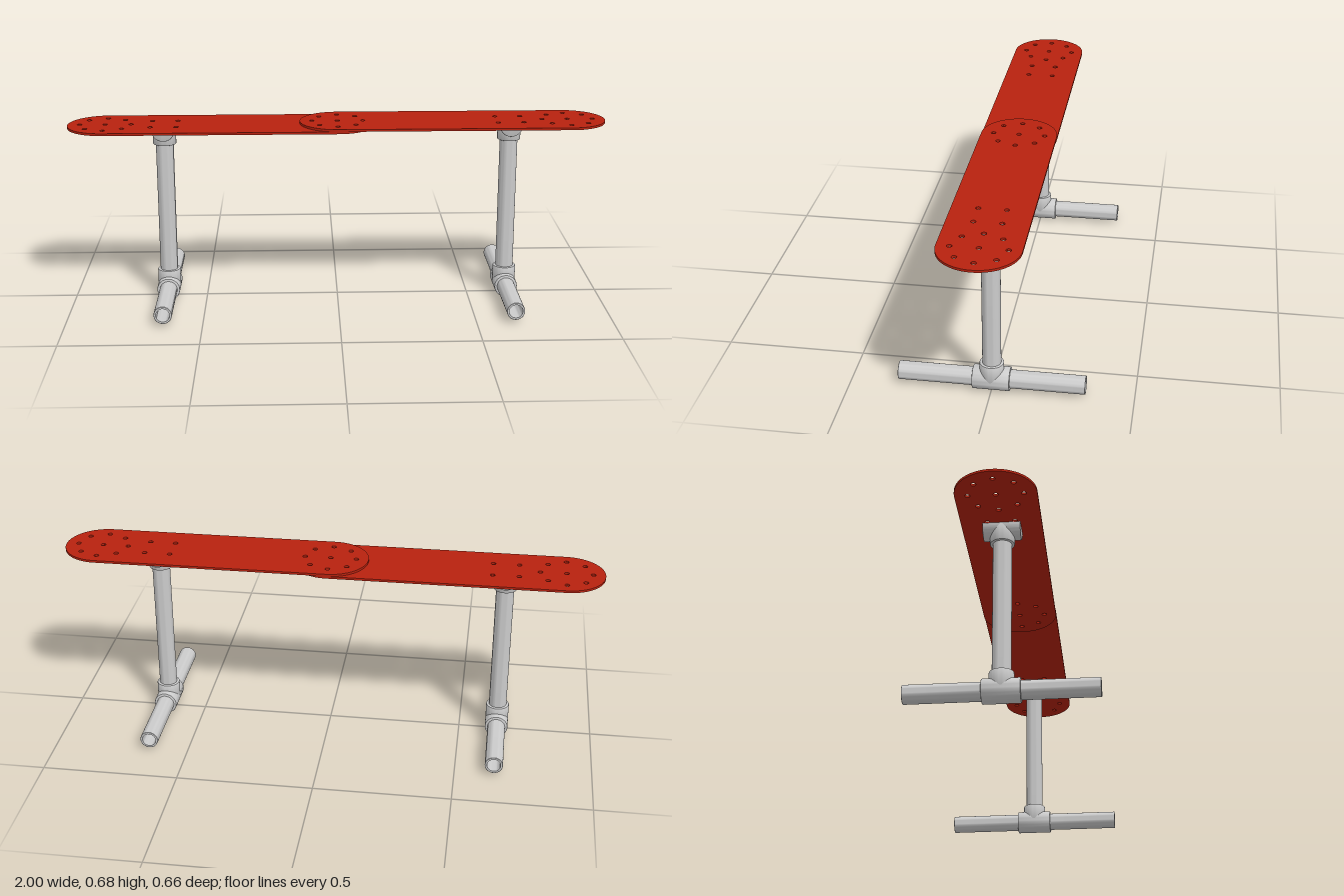
import * as THREE from 'three';
import { toCreasedNormals } from 'three/addons/utils/BufferGeometryUtils.js';

const metal = new THREE.MeshStandardMaterial({ color: 0xcccccc });
const red = new THREE.MeshStandardMaterial({ color: 0xb8220f });

const LEG_X = 0.643;       // leg distance from the middle
const PIPE_R = 0.033, BORE_R = 0.025;
const TEE_R = 0.043, TEE_REACH = 0.066, FILLET = 0.003;
const END_X = 0.86, HALF_W = 0.14, THICK = 0.0085;
const LOW_Y = 0.666;       // underside of the lower plank

function add(parent, name, geometry, material) {
  const mesh = new THREE.Mesh(geometry, material);
  mesh.name = name;
  parent.add(mesh);
  return mesh;
}

function turned(pairs, start = 0, sweep = Math.PI * 2) {
  const points = pairs.map(([r, y]) => new THREE.Vector2(r, y));
  return toCreasedNormals(new THREE.LatheGeometry(points, 48, start, sweep), 0.6);
}

// Hollow pipe along y
function pipe(y0, y1) {
  const c = 0.001;
  return turned([[BORE_R, y0], [PIPE_R - c, y0], [PIPE_R, y0 + c], [PIPE_R, y1 - c],
    [PIPE_R - c, y1], [BORE_R, y1], [BORE_R, y0]]);
}

// Fitting body along y with softened rims
function body(y0, y1, start, sweep) {
  const r = TEE_R, f = FILLET, k = f * 0.3;
  return turned([[0, y0], [r - f, y0], [r - k, y0 + k], [r, y0 + f],
    [r, y1 - f], [r - k, y1 - k], [r - f, y1], [0, y1]], start, sweep);
}

// Nine holes round a plank end: one central, eight in a ring
function ringHoles(cx) {
  const list = [[cx, 0]];
  for (let i = 0; i < 8; i++) {
    const a = i * Math.PI / 4;
    list.push([cx + 0.095 * Math.cos(a), 0.095 * Math.sin(a)]);
  }
  return list;
}

// Plank with round ends, running from the middle joint towards +x
function plankGeometry() {
  const shape = new THREE.Shape();
  shape.moveTo(0, -HALF_W);
  shape.lineTo(END_X, -HALF_W);
  shape.absarc(END_X, 0, HALF_W, -Math.PI / 2, Math.PI / 2, false);
  shape.lineTo(0, HALF_W);
  shape.absarc(0, 0, HALF_W, Math.PI / 2, Math.PI * 1.5, false);
  const holes = [...ringHoles(0), ...ringHoles(END_X)];
  for (const x of [0.595, 0.69]) for (const z of [-0.048, 0.048]) holes.push([x, z]);
  for (const [x, z] of holes) {
    const hole = new THREE.Path();
    hole.absarc(x, z, 0.009, 0, Math.PI * 2, true);
    shape.holes.push(hole);
  }
  const geometry = new THREE.ExtrudeGeometry(shape, { depth: THICK, bevelEnabled: false, curveSegments: 24 });
  geometry.rotateX(-Math.PI / 2);
  return toCreasedNormals(geometry, 0.6);
}

// One leg: base tee with two foot pipes, upright, and half tee under the plank
function buildLeg(topY) {
  const leg = new THREE.Group();

  const baseTee = new THREE.Group();
  baseTee.name = 'baseTee';
  baseTee.position.y = TEE_R;
  add(baseTee, 'baseTeeRun', body(-TEE_REACH, TEE_REACH).rotateX(Math.PI / 2), metal);
  add(baseTee, 'baseTeeBranch', body(0, TEE_REACH), metal);
  leg.add(baseTee);

  for (const side of [1, -1]) {
    const foot = add(leg, side > 0 ? 'frontFootPipe' : 'backFootPipe', pipe(0.04, 0.33), metal);
    foot.rotation.x = side * Math.PI / 2;
    foot.position.y = TEE_R;
  }

  add(leg, 'uprightPipe', pipe(0.08, topY - 0.04), metal);

  const topTee = new THREE.Group();
  topTee.name = 'topTee';
  topTee.position.y = topY;
  add(topTee, 'topTeeHalfRun',
    body(-TEE_REACH, TEE_REACH, -Math.PI / 2, Math.PI).rotateX(Math.PI / 2), metal);
  add(topTee, 'topTeeBranch', body(-TEE_REACH, 0), metal);
  leg.add(topTee);
  return leg;
}

export function createModel() {
  const model = new THREE.Group();
  model.name = 'plankBench';

  // The left plank lies on top of the right one at the joint
  for (const side of [1, -1]) {
    const label = side > 0 ? 'left' : 'right';
    const y = side > 0 ? LOW_Y + THICK : LOW_Y;
    const plank = add(model, label + 'Plank', plankGeometry(), red);
    plank.position.y = y;
    if (side < 0) plank.rotation.y = Math.PI;

    const leg = buildLeg(y);
    leg.name = label + 'Leg';
    leg.position.x = side * LEG_X;
    model.add(leg);
  }
  return model;
}
